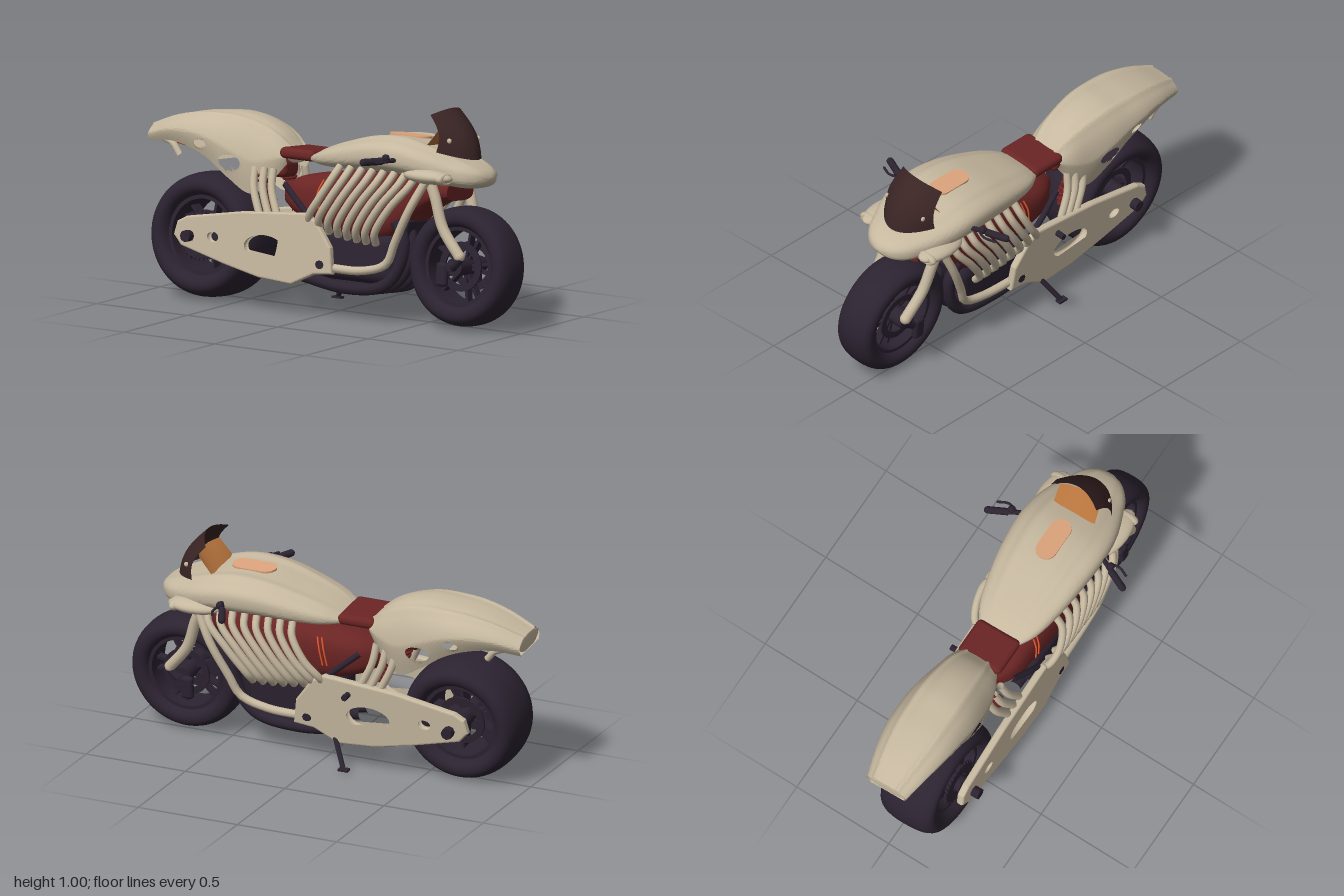
import * as THREE from 'three';
import { toCreasedNormals } from 'three/addons/utils/BufferGeometryUtils.js';
import { RoundedBoxGeometry } from 'three/addons/geometries/RoundedBoxGeometry.js';

const V = (x, y, z) => new THREE.Vector3(x, y, z);
const lerp = THREE.MathUtils.lerp;
const mat = (name, color, side = THREE.FrontSide) => {
  const m = new THREE.MeshStandardMaterial({ color, side });
  m.name = name;
  return m;
};

// Grid surface from f(u, v); quads lying inside the hole ellipses [cx, cy, rx, ry] are left out.
function sheet(f, nu, nv, holes = [], caps = false) {
  const pos = [], idx = [], gone = [];
  for (let i = 0; i <= nu; i++) for (let j = 0; j <= nv; j++) {
    const p = f(i / nu, j / nv);
    let inside = false;
    for (const [cx, cy, rx, ry] of holes) {
      const d = Math.hypot((p.x - cx) / rx, (p.y - cy) / ry);
      if (d >= 1) continue;
      inside = true;
      if (d > 0.65) { p.x = cx + (p.x - cx) / d; p.y = cy + (p.y - cy) / d; }
    }
    gone.push(inside);
    pos.push(p.x, p.y, p.z);
  }
  const w = nv + 1;
  for (let i = 0; i < nu; i++) for (let j = 0; j < nv; j++) {
    const a = i * w + j, b = a + w, c = b + 1, d = a + 1;
    if (gone[a] && gone[b] && gone[c] && gone[d]) continue;
    idx.push(a, b, c, a, c, d);
  }
  if (caps) for (const i of [0, nu]) {
    const centre = V(0, 0, 0);
    for (let j = 0; j < nv; j++) centre.add(V(...pos.slice((i * w + j) * 3, (i * w + j) * 3 + 3)).divideScalar(nv));
    pos.push(centre.x, centre.y, centre.z);
    const c = pos.length / 3 - 1;
    for (let j = 0; j < nv; j++) {
      const a = i * w + j;
      if (i) idx.push(c, a + 1, a); else idx.push(c, a, a + 1);
    }
  }
  const g = new THREE.BufferGeometry();
  g.setAttribute('position', new THREE.Float32BufferAttribute(pos, 3));
  g.setIndex(idx);
  return toCreasedNormals(g, 0.9);
}

// Stations [x, bottom, top, halfWidth] blended smoothly along x.
function spline(st) {
  const c = new THREE.CubicInterpolant(st.map(s => s[0]), st.flatMap(s => s.slice(1)), 3, new Float32Array(3));
  return x => [...c.evaluate(x)];
}
const pw = (v, e) => Math.sign(v) * Math.abs(v) ** e;
const ridge = (t, h) => h * Math.exp(-(((Math.abs(t) - 0.55) / 0.09) ** 2));

function loft(st, e, nu, nv, bump = 0) {
  const at = spline(st), x0 = st[0][0], x1 = st[st.length - 1][0];
  return sheet((u, v) => {
    const x = lerp(x0, x1, u), [b, t, w] = at(x), a = v * Math.PI * 2;
    const c = pw(Math.cos(a), e), s = pw(Math.sin(a), e);
    return V(x, (b + t) / 2 + (t - b) / 2 * s + (s > 0.2 ? ridge(c, bump) * Math.sin(Math.PI * u) : 0), c * w);
  }, nu, nv, [], true);
}

const tube = (pts, r, n = 24) =>
  new THREE.TubeGeometry(new THREE.CatmullRomCurve3(pts.map(p => V(...p))), n, r, 10, false);
const ring = (r0, r1, h) => {
  const pts = [[r0, -h], [r1, -h], [r1, h], [r0, h], [r0, -h]].map(p => new THREE.Vector2(...p));
  return toCreasedNormals(new THREE.LatheGeometry(pts, 48), 0.6).rotateX(Math.PI / 2);
};
const axial = (r, len, n = 20) => new THREE.CylinderGeometry(r, r, len, n).rotateX(Math.PI / 2);

export function createModel() {
  const ivory = mat('ivory', 0xc6b89f, THREE.DoubleSide), red = mat('deep red', 0x6a2524);
  const dark = mat('dark violet', 0x2c2331), shieldBrown = mat('shield brown', 0x3a2424, THREE.DoubleSide);
  const amber = mat('amber', 0xb5733c, THREE.DoubleSide), peach = mat('peach', 0xdca47d), orange = mat('signal orange', 0xe8562a);
  const model = new THREE.Group(), bike = new THREE.Group();
  model.name = 'motorcycle';
  bike.name = 'leaningBike';
  model.add(bike);
  const add = (name, geo, m, x = 0, y = 0, z = 0, parent = bike) => {
    const mesh = new THREE.Mesh(geo, m);
    mesh.name = name;
    mesh.position.set(x, y, z);
    parent.add(mesh);
    return mesh;
  };

  // Wheels
  const wheel = (name, x, z, R, w) => {
    const g = new THREE.Group();
    g.name = name;
    g.position.set(x, 0.285, z);
    bike.add(g);
    const rc = (R + 0.172) / 2, hr = (R - 0.172) / 2, prof = [];
    for (let i = 0; i <= 32; i++) {
      const a = -Math.PI + i / 32 * Math.PI * 2;
      prof.push(new THREE.Vector2(rc + hr * pw(Math.cos(a), 0.85), w * pw(Math.sin(a), 0.8)));
    }
    add('tyre', new THREE.LatheGeometry(prof, 64).rotateX(Math.PI / 2), dark, 0, 0, 0, g);
    add('rim', ring(0.166, 0.185, w * 0.7), dark, 0, 0, 0, g);
    add('hub', axial(0.042, w * 2.1), dark, 0, 0, 0, g);
    for (const s of [-1, 1]) add('brakeDisc', ring(0.082, 0.114, 0.005), dark, 0, 0, s * w * 0.5, g);
    for (let i = 0; i < 10; i++) {
      const a = (Math.floor(i / 2) + (i % 2 ? 0.14 : -0.14)) / 5 * Math.PI * 2;
      const spoke = add('spoke', new THREE.BoxGeometry(0.15, 0.013, w * 0.4), dark, Math.cos(a) * 0.1, Math.sin(a) * 0.1, 0, g);
      spoke.rotation.z = a;
    }
    return g;
  };
  wheel('frontWheel', 0.722, -0.012, 0.275, 0.1);
  const rear = wheel('rearWheel', -0.668, 0, 0.287, 0.143);
  add('sprocket', ring(0.05, 0.105, 0.006), dark, 0, 0, 0.12, rear);
  for (let i = 0; i < 28; i++) {
    const a = i / 28 * Math.PI * 2;
    add('sprocketTooth', new THREE.BoxGeometry(0.012, 0.012, 0.01), dark, Math.cos(a) * 0.108, Math.sin(a) * 0.108, 0.12, rear).rotation.z = a;
  }

  // Tail shell, open over the wheel, with side openings
  const tail = new THREE.Group();
  tail.name = 'tail';
  tail.position.z = -0.013;
  bike.add(tail);
  const tailAt = spline([[-1, 0.68, 0.76, 0.114], [-0.87, 0.698, 0.812, 0.15], [-0.74, 0.68, 0.845, 0.176],
    [-0.63, 0.637, 0.858, 0.184], [-0.52, 0.565, 0.863, 0.185], [-0.39, 0.505, 0.836, 0.166], [-0.3, 0.575, 0.787, 0.14], [-0.24, 0.655, 0.73, 0.108]]);
  const tailPoint = (u, v) => {
    const x = lerp(-1, -0.24, u), [b, t, w] = tailAt(x), a = v * Math.PI;
    const c = pw(Math.cos(a), 0.75), s = Math.sin(a) ** 0.8;
    return V(x, b + (t - b) * s + (s > 0.3 ? ridge(c, 0.01) : 0), c * w * (0.8 + 0.2 * Math.min(1, s * 2.2)));
  };
  add('tailShell', sheet(tailPoint, 120, 100, [[-0.507, 0.638, 0.06, 0.036], [-0.675, 0.706, 0.036, 0.02]]), ivory, 0, 0, 0, tail);
  add('tailTray', sheet((u, v) => {
    const x = lerp(-1, -0.62, u), [b, , w] = tailAt(x);
    return V(x, b + 0.004, lerp(0.8, -0.8, v) * w);
  }, 20, 2), ivory, 0, 0, 0, tail);
  for (const [x, y, h, w] of [[-0.996, 0.72, 0.04, 0.1], [-0.24, 0.692, 0.037, 0.09]])
    add('tailEnd', new THREE.SphereGeometry(1, 20, 12).scale(0.004, h, w), ivory, x, y, 0, tail);
  add('tailLight', new RoundedBoxGeometry(0.12, 0.022, 0.15, 3, 0.01), orange, -0.85, 0.692, 0, tail).rotation.z = -0.14;
  for (const s of [-1, 1])
    add('tailHook', tube([[-0.92, 0.705, s * 0.095], [-0.87, 0.685, s * 0.095], [-0.83, 0.64, s * 0.095]], 0.016), ivory, 0, 0, 0, tail);

  // Seat
  add('seat', new RoundedBoxGeometry(0.19, 0.052, 0.23, 4, 0.024), red, -0.17, 0.708, 0);
  add('seatBase', new RoundedBoxGeometry(0.2, 0.09, 0.13, 3, 0.03), red, -0.36, 0.63, 0);

  // Tank and nose
  add('tankFairing', loft([[-0.095, 0.68, 0.715, 0.105], [-0.02, 0.668, 0.752, 0.15], [0.12, 0.668, 0.8, 0.19], [0.28, 0.675, 0.84, 0.215],
    [0.44, 0.675, 0.848, 0.224], [0.57, 0.668, 0.82, 0.208], [0.7, 0.646, 0.778, 0.16], [0.79, 0.652, 0.745, 0.105], [0.825, 0.672, 0.722, 0.055], [0.836, 0.688, 0.706, 0.02]], 0.72, 70, 64, 0.012), ivory);
  const oval = new THREE.Shape();
  oval.absarc(0.057, 0, 0.05, -Math.PI / 2, Math.PI / 2);
  oval.absarc(-0.057, 0, 0.05, Math.PI / 2, Math.PI * 1.5);
  add('tankInlay', new THREE.ExtrudeGeometry(oval, { depth: 0.009, bevelEnabled: false, curveSegments: 16 }).rotateX(-Math.PI / 2), peach, 0.383, 0.845, 0);
  for (const s of [-1, 1]) {
    add('scoopBody', new THREE.SphereGeometry(1, 20, 14).scale(0.13, 0.034, 0.062), ivory, 0.61, 0.693, s * 0.178);
    add('scoopLip', new THREE.TorusGeometry(0.034, 0.014, 10, 28).rotateY(Math.PI / 2).scale(1.3, 0.6, 1.2), ivory, 0.7, 0.69, s * 0.178);
  }

  // Windshield with an amber panel behind it
  add('windshield', sheet((u, v) => {
    const q = lerp(-1, 1, u);
    return V(lerp(0.755, 0.612, v) - q * q * lerp(0.125, 0.045, v) + 0.03 * Math.sin(Math.PI * v),
      lerp(0.775, 1, v) + q * q * lerp(0.03, -0.032, v), q * lerp(0.152, 0.123, v));
  }, 24, 16), shieldBrown);
  add('amberPanel', sheet((u, v) => {
    const q = lerp(-1, 1, u);
    return V(lerp(0.548, 0.61, v) + (1 - q * q) * 0.03 * v, lerp(0.825, 0.905, v), q * lerp(0.112, 0.108, v));
  }, 12, 6), amber);
  for (const s of [-1, 1]) add('shieldStud', new THREE.SphereGeometry(1, 12, 8).scale(0.012, 0.012, 0.008), ivory, 0.673, 0.859, s * 0.114);

  // Red engine body and dark lower engine
  add('engineBody', loft([[-0.26, 0.47, 0.565, 0.05], [-0.18, 0.43, 0.605, 0.11], [0, 0.38, 0.645, 0.14], [0.2, 0.34, 0.675, 0.15],
    [0.38, 0.38, 0.68, 0.14], [0.5, 0.5, 0.68, 0.12], [0.6, 0.565, 0.67, 0.112], [0.67, 0.58, 0.665, 0.105]], 0.7, 40, 40), red);
  add('crankcase', new RoundedBoxGeometry(0.46, 0.24, 0.26, 4, 0.06), dark, 0.17, 0.28, 0);
  for (const z of [-0.11, -0.04, 0.04, 0.11])
    add('exhaustPipe', tube([[0.4, 0.46, z], [0.45, 0.38, z], [0.43, 0.25, z], [0.35, 0.16, z], [0.15, 0.13, z], [-0.1, 0.165, z * 1.1]], 0.028), dark);
  add('radiator', new RoundedBoxGeometry(0.03, 0.24, 0.2, 3, 0.012), dark, 0.42, 0.36, 0).rotation.z = -0.3;

  // Mirrored frame, ribs, fork, swingarm and controls
  const plate = new THREE.Shape([[-0.75, 0.288], [-0.735, 0.345], [-0.69, 0.37], [-0.39, 0.422], [-0.04, 0.452], [0.02, 0.42], [0.1, 0.312], [0.115, 0.2],
    [0.02, 0.19], [-0.1, 0.132], [-0.28, 0.144], [-0.47, 0.184], [-0.71, 0.245]].map(p => new THREE.Vector2(...p)));
  for (const [x, y, rx, ry] of [[-0.256, 0.277, 0.112, 0.06], [-0.54, 0.296, 0.034, 0.026], [0.055, 0.232, 0.026, 0.022]]) {
    const h = new THREE.Path();
    h.absellipse(x, y, rx, ry, 0, Math.PI * 2, true);
    plate.holes.push(h);
  }
  const plateGeo = new THREE.ExtrudeGeometry(plate, { depth: 0.016, bevelSize: 0.01, bevelOffset: -0.003, bevelThickness: 0.01, bevelSegments: 3, curveSegments: 20 });
  for (const s of [-1, 1]) {
    add('swingarmPlate', plateGeo, ivory, 0, 0, s * 0.185 - 0.008);
    add('axleNut', axial(0.027, 0.04, 8), dark, -0.668, 0.288, s * 0.22);
    add('pivotBolt', axial(0.022, 0.03, 8), dark, 0.055, 0.232, s * 0.188);
    for (let i = 0; i < 8; i++) {
      const x = 0.12 + i * 0.06, b = -0.03 + i * 0.052, y = 0.4 - 0.045 * Math.sin(i / 7 * Math.PI / 2);
      add('rib', tube([[x, 0.69, s * 0.17], [x - 0.012, 0.64, s * 0.208], [lerp(x, b, 0.5), 0.53, s * 0.225], [b + 0.015, y + 0.05, s * 0.203], [b, y, s * 0.165]], 0.018), ivory);
    }
    add('cradleTube', tube([[0.6, 0.68, s * 0.17], [0.53, 0.53, s * 0.2], [0.45, 0.37, s * 0.185], [0.4, 0.27, s * 0.17], [0.27, 0.225, s * 0.165], [0.07, 0.22, s * 0.17]], 0.02), ivory);
    for (const x of [-0.38, -0.33, -0.28])
      add('seatStrut', tube([[x, 0.63, s * 0.125], [x + 0.015, 0.54, s * 0.15], [x + 0.07, 0.42, s * 0.172]], 0.018), ivory);
    add('linkRod', tube([[-0.2, 0.57, s * 0.14], [-0.1, 0.49, s * 0.16], [0, 0.41, s * 0.17]], 0.014), dark);
    const coil = [];
    for (let i = 0; i <= 56; i++) coil.push([-0.35 + 0.06 * i / 56 + 0.028 * Math.cos(i * 0.785), 0.6 - 0.16 * i / 56, s * 0.1 + 0.028 * Math.sin(i * 0.785)]);
    add('shockSpring', tube(coil, 0.008, 130), red);
    add('shockBody', tube([[-0.355, 0.61, s * 0.1], [-0.29, 0.43, s * 0.1]], 0.024, 4), red);
    for (const x of [0, 0.022])
      add('accentLine', tube([[x, 0.61, s * 0.12], [x - 0.015, 0.56, s * 0.14], [x - 0.03, 0.48, s * 0.141]], 0.004), orange);

    // Fork leg and caliper
    const f = z => s * z - 0.012;
    add('forkLeg', tube([[0.57, 0.71, f(0.145)], [0.62, 0.6, f(0.14)], [0.67, 0.46, f(0.135)], [0.765, 0.34, f(0.13)]], 0.026), ivory);
    add('forkTip', new THREE.SphereGeometry(0.026, 16, 10), ivory, 0.765, 0.34, f(0.13));
    add('forkFoot', tube([[0.77, 0.335, f(0.13)], [0.745, 0.305, f(0.13)], [0.722, 0.288, f(0.13)]], 0.022), dark);
    add('caliper', new RoundedBoxGeometry(0.06, 0.11, 0.035, 3, 0.016), dark, 0.68, 0.25, f(0.135));

    // Handlebar, grip, reservoir and lever
    add('handlebar', tube([[0.5, 0.758, s * 0.13], [0.465, 0.755, s * 0.19], [0.385, 0.745, s * 0.35]], 0.011), dark);
    add('grip', tube([[0.42, 0.75, s * 0.28], [0.38, 0.745, s * 0.368]], 0.017, 4), dark);
    add('gripEnd', new THREE.SphereGeometry(0.017, 12, 8), dark, 0.38, 0.745, s * 0.368);
    add('reservoir', new THREE.SphereGeometry(0.018, 14, 10), dark, 0.435, 0.765, s * 0.27);
    add('lever', tube([[0.44, 0.755, s * 0.25], [0.455, 0.75, s * 0.3], [0.435, 0.745, s * 0.355]], 0.006), dark);
  }
  add('footPeg', axial(0.014, 0.05), dark, -0.16, 0.385, -0.22);
  add('frontAxle', axial(0.018, 0.29), dark, 0.722, 0.285, -0.012);
  add('rearAxle', axial(0.016, 0.44), dark, -0.668, 0.288, 0);

  // Kickstand
  add('kickstand', tube([[-0.07, 0.17, -0.18], [-0.15, 0.04, -0.265]], 0.012, 4), dark);
  add('kickstandFoot', new THREE.BoxGeometry(0.05, 0.01, 0.03), dark, -0.155, 0.034, -0.268);

  bike.rotation.x = -0.095;
  bike.position.set(0, 0.008, 0.068);
  return model;
}
